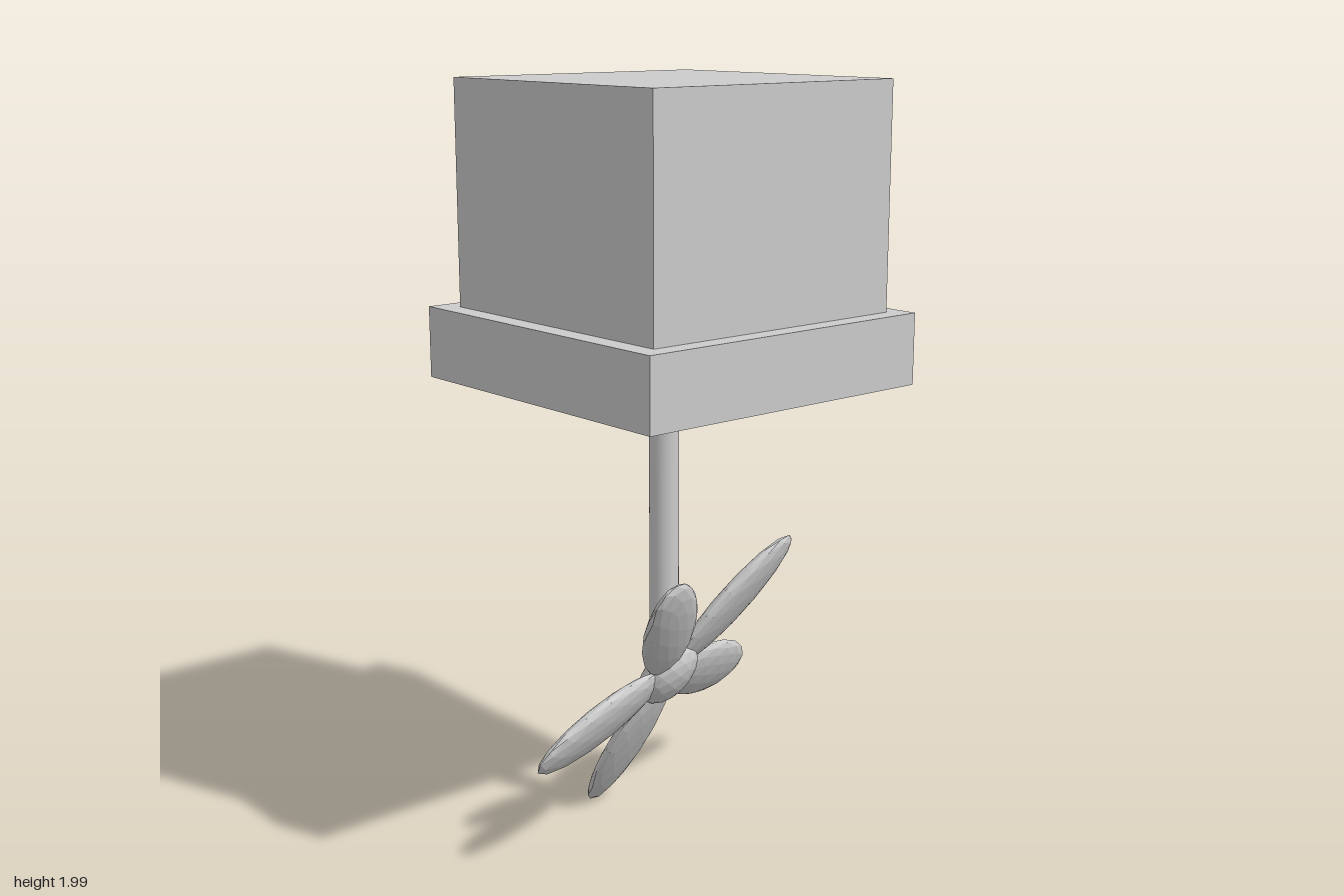
import * as THREE from 'three';

export function createModel() {
  const model = new THREE.Group();
  model.name = 'hangingFlowerPot';
  const grey = new THREE.MeshStandardMaterial({ color: 0xcccccc });
  grey.name = 'plain grey';
  grey.flatShading = true;
  const smoothGrey = grey.clone();
  smoothGrey.name = 'smooth grey';
  smoothGrey.flatShading = false;

  const add = (parent, name, geometry, position, material = grey) => {
    const mesh = new THREE.Mesh(geometry, material);
    mesh.name = name;
    mesh.position.set(...position);
    parent.add(mesh);
    return mesh;
  };

  // Upturned square pot with a wider rim
  add(model, 'potBody', new THREE.BoxGeometry(0.766, 0.765, 0.766), [0.01, 1.6175, 0.002]);
  add(model, 'potRim', new THREE.BoxGeometry(0.87, 0.184, 0.878), [0.006, 1.333, -0.001]);

  // Stem hanging out of the pot
  add(model, 'stem', new THREE.CylinderGeometry(0.039, 0.039, 0.82, 32), [0.014, 0.86, -0.032], smoothGrey);

  // Flower head, tilted forward and down
  const flower = new THREE.Group();
  flower.name = 'flower';
  flower.position.set(0.021, 0.437, -0.022);
  const normal = new THREE.Vector3(0.27, -0.61, 1).normalize();
  const up = new THREE.Vector3(0.07, 0.425, 0.246);
  up.addScaledVector(normal, -up.dot(normal)).normalize();
  const side = new THREE.Vector3().crossVectors(up, normal);
  flower.quaternion.setFromRotationMatrix(new THREE.Matrix4().makeBasis(side, up, normal));
  model.add(flower);

  const hub = new THREE.IcosahedronGeometry(1, 2).scale(0.1, 0.1, 0.055);
  add(flower, 'flowerCentre', hub, [0, 0, 0]);

  // Five flattened petals around the centre
  const petal = new THREE.IcosahedronGeometry(1, 2).scale(0.097, 0.235, 0.032).translate(0, -0.262, 0);
  for (let i = 0; i < 5; i++) {
    add(flower, 'petal' + (i + 1), petal, [0, 0, 0]).rotation.z = (i * Math.PI * 2) / 5;
  }
  return model;
}
